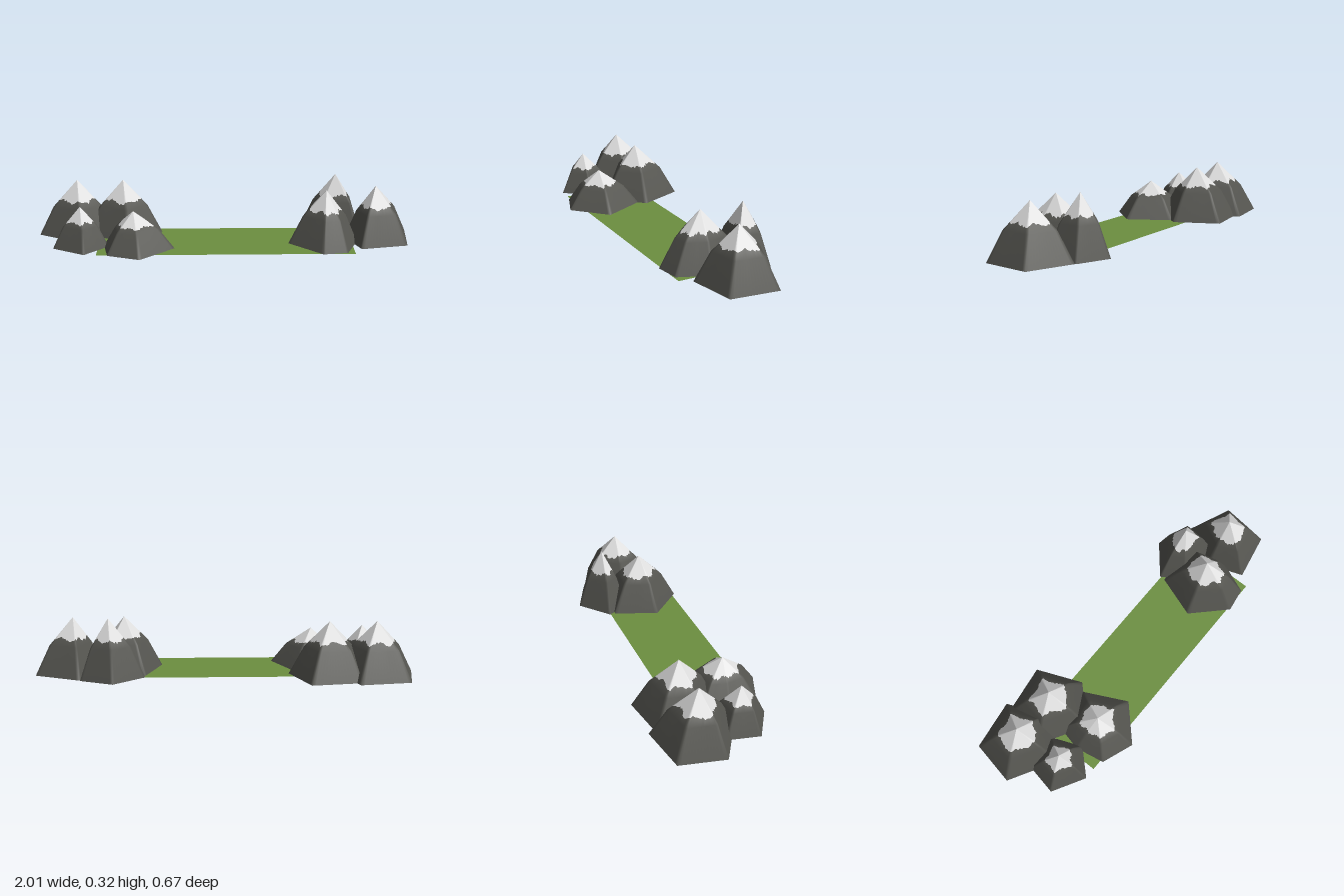
import * as THREE from 'three';

const material = (name, color, extra = {}) => {
  const m = new THREE.MeshStandardMaterial({ color, ...extra });
  m.name = name;
  return m;
};

// Base outlines [x, z] around each peak, running from +x towards +z
const pentagon = [[0.21, 0.03], [0.04, 0.21], [-0.205, 0.07], [-0.16, -0.17], [0.11, -0.21]];
const broad = [[0.215, 0.03], [0.04, 0.198], [-0.13, 0.135], [-0.16, -0.02], [-0.13, -0.16], [0.10, -0.2]];
const wide = [[0.17, 0.02], [0.10, 0.19], [-0.03, 0.21], [-0.2, 0.04], [-0.12, -0.19], [0.12, -0.18]];
const narrow = [[0.13, 0.11], [-0.12, 0.10], [-0.19, -0.02], [-0.03, -0.155], [0.145, -0.08]];
const outer = [[0.16, 0.14], [-0.09, 0.19], [-0.16, 0], [-0.05, -0.22], [0.19, -0.118]];

const mountains = [
  { name: 'rightRearOuterMountain', x: -0.80, z: -0.13, h: 0.29, base: pentagon },
  { name: 'rightRearInnerMountain', x: -0.55, z: -0.13, h: 0.29, base: pentagon },
  { name: 'rightFrontSmallMountain', x: -0.76, z: 0.11, h: 0.215, base: pentagon, scale: 0.7 },
  { name: 'rightFrontLowMountain', x: -0.48, z: 0.135, h: 0.197, base: broad },
  { name: 'leftFrontMountain', x: 0.54, z: 0.06, h: 0.282, base: wide },
  { name: 'leftRearMountain', x: 0.61, z: -0.14, h: 0.314, base: narrow },
  { name: 'leftOuterMountain', x: 0.81, z: 0.007, h: 0.29, base: outer },
];

// Small repeatable random source for the ragged snow edge
function seeded(seed) {
  let s = seed * 7919 + 17;
  return () => (s = (s * 16807) % 2147483647) / 2147483647;
}

// Peak built in rings: foot, shoulder, ragged snow line, summit
function mountainGeometry({ base, h, scale = 1 }, seed) {
  const random = seeded(seed);
  const steps = 14;
  const n = base.length * steps;
  const shoulderY = 0.53, shoulderR = 0.62;
  const positions = [];
  for (let ring = 0; ring < 4; ring++) {
    for (let i = 0; i < n; i++) {
      const a = base[Math.floor(i / steps)];
      const b = base[(Math.floor(i / steps) + 1) % base.length];
      const t = (i % steps) / steps;
      const snowY = 0.64 + 0.025 * Math.sin(i * 0.5 + seed) + (random() - 0.5) * 0.04;
      const y = [0, shoulderY, snowY, 1][ring];
      const r = ring === 0 ? 1 : shoulderR * (1 - y) / (1 - shoulderY);
      positions.push((a[0] + (b[0] - a[0]) * t) * r * scale, y * h,
        (a[1] + (b[1] - a[1]) * t) * r * scale);
    }
  }
  const index = [];
  for (let ring = 0; ring < 3; ring++) {
    for (let i = 0; i < n; i++) {
      const j = (i + 1) % n;
      const p = ring * n + i, q = ring * n + j;
      index.push(p, p + n, q);
      if (ring < 2) index.push(q, p + n, q + n);
    }
  }
  const geo = new THREE.BufferGeometry();
  geo.setAttribute('position', new THREE.Float32BufferAttribute(positions, 3));
  geo.setIndex(index);
  geo.computeVertexNormals();
  geo.addGroup(0, n * 12, 0);
  geo.addGroup(n * 12, n * 3, 1);
  return geo;
}

export function createModel() {
  const model = new THREE.Group();
  model.name = 'mountainField';
  const double = { side: THREE.DoubleSide };
  const rock = material('rock', 0x555550, double);
  const snow = material('snow', 0xdedede, double);
  const grass = material('grass', 0x6c8f40, double);

  // Flat grass strip
  const field = new THREE.Mesh(new THREE.PlaneGeometry(1.35, 0.41), grass);
  field.name = 'grassField';
  field.rotation.x = -Math.PI / 2;
  field.position.set(0.005, 0, 0.05);
  model.add(field);

  // Snow-capped mountains at both ends
  mountains.forEach((spec, k) => {
    const mesh = new THREE.Mesh(mountainGeometry(spec, k + 1), [rock, snow]);
    mesh.name = spec.name;
    mesh.position.set(spec.x, 0.003, spec.z);
    model.add(mesh);
  });
  return model;
}
